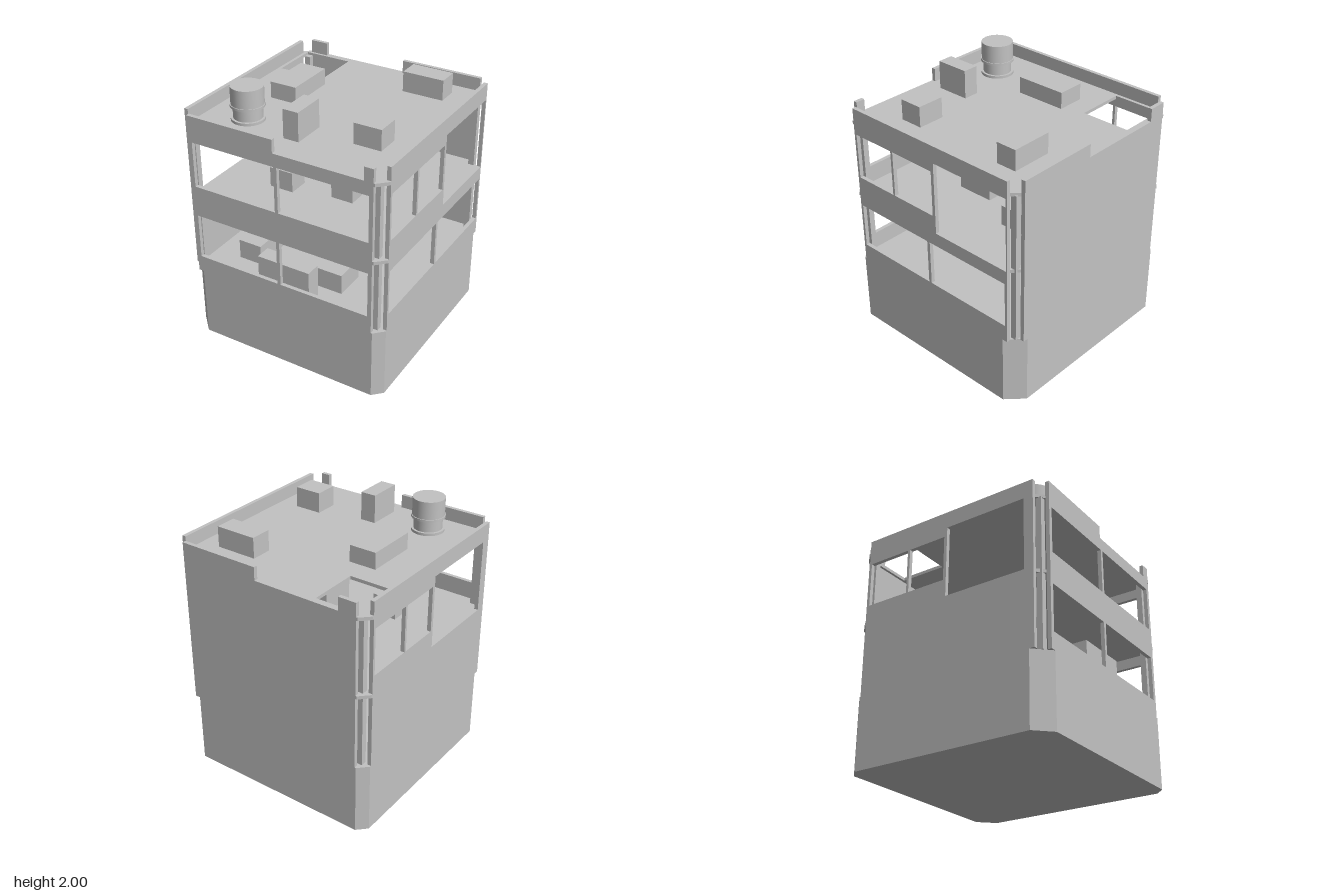
import * as THREE from 'three';

const R = 0.81, THICK = 0.03;
const grey = new THREE.MeshStandardMaterial({ color: 0xc2c2c2 });
grey.name = 'plain grey';

function add(parent, name, geometry) {
  const mesh = new THREE.Mesh(geometry, grey);
  mesh.name = name;
  parent.add(mesh);
  return mesh;
}

// Box given by its limits on each axis
function block(parent, name, x0, x1, y0, y1, z0, z1) {
  const mesh = add(parent, name, new THREE.BoxGeometry(x1 - x0, y1 - y0, z1 - z0));
  mesh.position.set((x0 + x1) / 2, (y0 + y1) / 2, (z0 + z1) / 2);
}

function rectPath(x0, x1, y0, y1) {
  return new THREE.Path([[x0, y0], [x0, y1], [x1, y1], [x1, y0]].map(p => new THREE.Vector2(...p)));
}

// Square plate with two wide and two narrow cut corners, from y0 to y1
function plate(parent, name, y0, y1, hole) {
  const s = 0.74, b = 0.69;
  const shape = new THREE.Shape([
    [-b, -R], [s, -R], [R, -s], [R, b], [b, R], [-s, R], [-R, s], [-R, -b],
  ].map(p => new THREE.Vector2(...p)));
  if (hole) shape.holes.push(hole);
  const geo = new THREE.ExtrudeGeometry(shape, { depth: y1 - y0, bevelEnabled: false });
  add(parent, name, geo.rotateX(-Math.PI / 2).translate(0, y0, 0));
}

// Wall with openings [u0, u1, y0, y1] and an optional parapet notch [u0, u1]
function wall(parent, name, angle, openings, notch) {
  const e = 0.73, top = 1.82, low = 1.72;
  const pts = [[-e, 0.55], [e, 0.55], [e, top]];
  if (notch) pts.push([notch[1], top], [notch[1], low], [notch[0], low], [notch[0], top]);
  pts.push([-e, top]);
  const shape = new THREE.Shape(pts.map(p => new THREE.Vector2(...p)));
  openings.forEach(o => shape.holes.push(rectPath(...o)));
  const geo = new THREE.ExtrudeGeometry(shape, { depth: THICK, bevelEnabled: false });
  add(parent, name, geo.translate(0, 0, R - THICK).rotateY(angle));
}

export function createModel() {
  const model = new THREE.Group();
  model.name = 'building';

  // Solid ground storey, floor slab and roof with a hatch
  plate(model, 'base', 0, 0.55);
  plate(model, 'upperFloor', 1.11, 1.135);
  plate(model, 'roof', 1.695, 1.72, rectPath(-0.755, -0.38, 0.38, 0.76));

  // Walls
  const lowY = [0.68, 1.03], highY = [1.27, 1.62], doorY = [1.135, 1.69];
  const frontOpenings = [];
  for (const y of [lowY, highY]) frontOpenings.push([-0.7, -0.025, ...y], [0, 0.7, ...y]);
  wall(model, 'frontWall', 0, frontOpenings, [-0.03, 0.66]);
  wall(model, 'backWall', Math.PI, [], [-0.09, 0.59]);
  wall(model, 'leftWall', Math.PI / 2, [
    [-0.71, -0.025, ...lowY], [0, 0.71, ...lowY],
    [-0.71, -0.355, ...highY], [-0.335, 0.045, ...highY],
    [0.07, 0.72, ...doorY],
  ]);
  wall(model, 'rightWall', -Math.PI / 2, [
    [-0.71, -0.36, ...highY], [-0.34, -0.025, ...highY],
    [0, 0.655, ...doorY],
  ]);

  // Corner posts
  for (const sx of [-1, 1]) for (const sz of [-1, 1]) {
    const x = sx * 0.7325, z = sz * 0.7375, h = 0.0225;
    block(model, 'cornerPost', x - h, x + h, 0.55, 1.7, z - h, z + h);
  }

  // Furniture on both floors
  block(model, 'lowerCounter', -0.215, 0.21, 0.55, 0.825, 0.65, 0.77);
  block(model, 'upperCounter', -0.215, 0.21, 1.135, 1.41, -0.77, -0.65);
  for (const [x0, x1, z0, z1] of [
    [-0.565, -0.375, 0.19, 0.52], [0.12, 0.33, 0.285, 0.53], [-0.2, 0.05, -0.16, 0.1],
  ]) block(model, 'lowerTable', x0, x1, 0.55, 0.705, z0, z1);
  for (const [x0, x1, z0, z1] of [
    [-0.39, -0.2, 0.17, 0.335], [0.075, 0.25, -0.045, 0.245], [0.25, 0.42, -0.515, -0.32],
  ]) block(model, 'upperTable', x0, x1, 1.135, 1.29, z0, z1);

  // Roof units
  for (const [x0, x1, top, z0, z1] of [
    [0.27, 0.59, 1.9, -0.6, -0.44], [0.38, 0.59, 1.9, 0.28, 0.46],
    [-0.06, 0.06, 1.96, 0.37, 0.63], [-0.49, -0.28, 1.87, -0.25, 0.145],
  ]) block(model, 'roofUnit', x0, x1, 1.745, top, z0, z1);

  // Water tank: stem, rims and drum
  const tank = new THREE.Group();
  tank.name = 'waterTank';
  tank.position.set(-0.43, 0, 0.51);
  model.add(tank);
  for (const [name, r, y0, y1] of [
    ['tankFoot', 0.122, 1.745, 1.765], ['tankStem', 0.105, 1.765, 1.85],
    ['tankRim', 0.124, 1.85, 1.868], ['tankDrum', 0.118, 1.868, 2],
  ]) {
    add(tank, name, new THREE.CylinderGeometry(r, r, y1 - y0, 32)).position.y = (y0 + y1) / 2;
  }
  return model;
}
